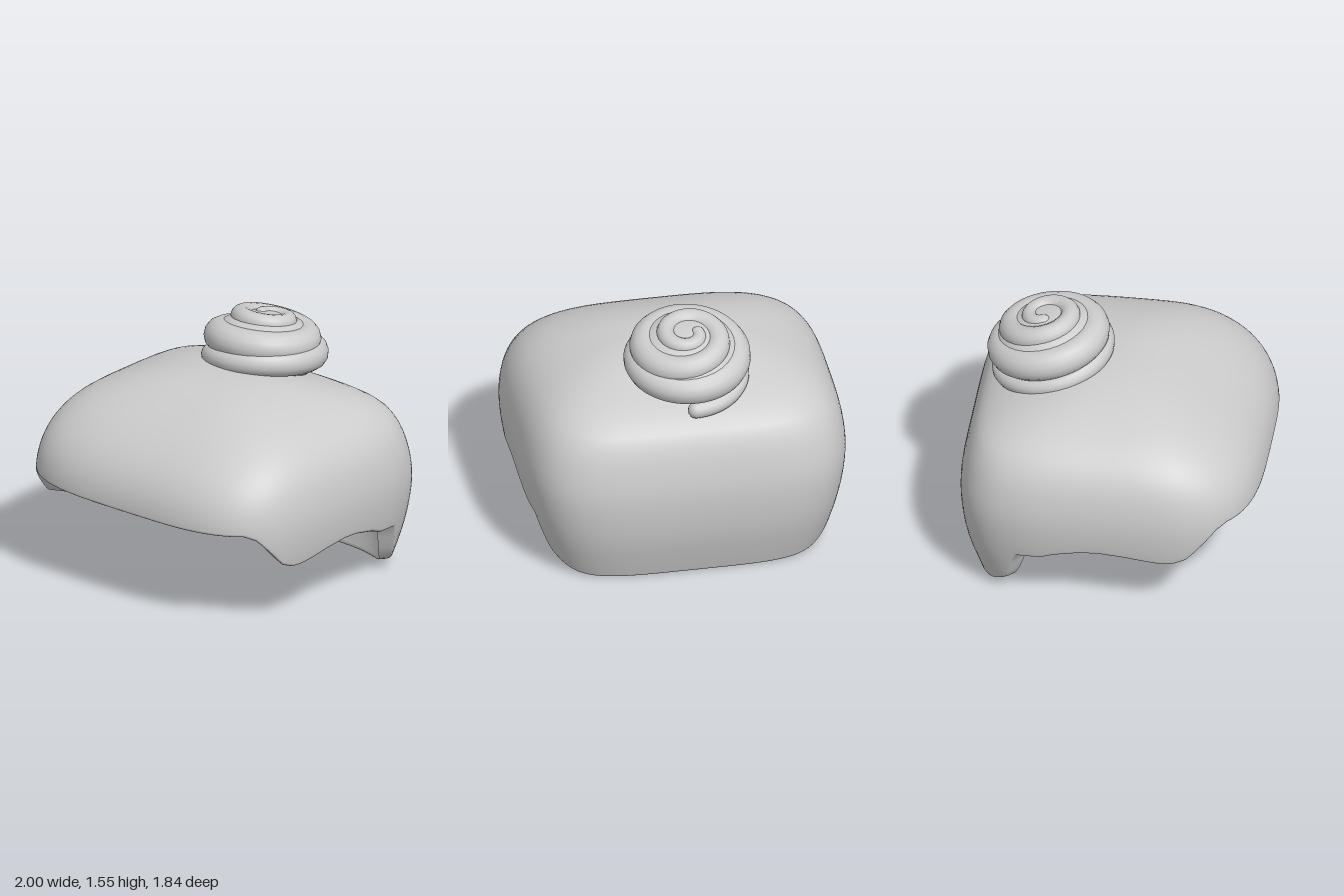
import * as THREE from 'three';
import { mergeVertices } from 'three/addons/utils/BufferGeometryUtils.js';

const hair = new THREE.MeshStandardMaterial({ color: 0xcccccc });
hair.name = 'light grey hair';

// Smooth lookup in a list of evenly spaced values (Catmull-Rom), s counted in steps
function smooth(list, s) {
  const i = Math.min(Math.max(Math.floor(s), 0), list.length - 2), f = s - i;
  const b = list[i], c = list[i + 1];
  const a = i > 0 ? list[i - 1] : 2 * b - c;
  const d = i + 2 < list.length ? list[i + 2] : 2 * c - b;
  return b + 0.5 * f * (c - a + f * (2 * a - 5 * b + 4 * c - d + f * (3 * (b - c) + d - a)));
}

const TOP = 1.26;
// Half width, front reach and back reach at y = TOP - q * q, for q in steps of 0.1
const WIDTH = [0, 0.23, 0.42, 0.59, 0.75, 0.87, 0.945, 0.985, 1.0, 0.985, 0.945, 0.885, 0.8];
const FRONT = [0, 0.14, 0.28, 0.42, 0.565, 0.705, 0.82, 0.893, 0.92, 0.92, 0.91, 0.9, 0.9];
const BACK = [0, 0.15, 0.295, 0.46, 0.65, 0.795, 0.86, 0.897, 0.92, 0.915, 0.885, 0.82, 0.75];

// Inner wall: half width, front and back limits at the hem, inward taper, crown thickness
const INNER = { width: 0.9, front: 0.87, back: 0.79, taper: 0.2, crown: 0.14 };

// Hem height along the side, as [z, y] from front to back
const HEM = [[0.92, 0.63], [0.76, 0.63], [0.7, 0.6], [0.53, 0.41], [0.44, 0.375], [0.35, 0.38],
  [0.15, 0.415], [0, 0.43], [-0.12, 0.425], [-0.28, 0.39], [-0.37, 0.355], [-0.53, 0.34],
  [-0.63, 0.12], [-0.72, 0.06], [-0.79, 0.02], [-0.86, 0.003], [-0.92, 0]];

function hemAt(z) {
  const i = Math.max(1, HEM.findIndex((p) => p[0] <= z + 1e-6));
  const [z0, y0] = HEM[i - 1], [z1, y1] = HEM[i];
  return y0 + (y1 - y0) * THREE.MathUtils.clamp((z - z0) / (z1 - z0), 0, 1);
}

// Rounded-square outline, in unit size
function outline(phi, q) {
  const s = Math.sin(phi), c = Math.cos(phi);
  const n = 2.5 + (c > 0 ? 1.1 : 1.1 - 0.9 * c) * Math.min(1, q / 0.4);
  const r = 1 / Math.pow(Math.abs(s) ** n + Math.abs(c) ** n, 1 / n);
  return [s * r, c * r];
}

function outerPoint(phi, y, scale = 1) {
  const q = Math.sqrt(Math.max(0, TOP - y));
  const [x, z] = outline(phi, q);
  const reach = z > 0 ? FRONT : BACK;
  return [x * smooth(WIDTH, q * 10) * scale, y, z * smooth(reach, q * 10) * scale];
}

// Soft minimum of two positive sizes
const softMin = (a, b) => (a < 1e-4 ? a : a * (1 + (a / b) ** 16) ** (-1 / 16));

// rise runs from 0 at the hem to 1 at the crown
function innerPoint(phi, y, rise) {
  const q = Math.sqrt(Math.max(0, TOP - y));
  const [x, z] = outline(phi, q);
  const size = (list, limit) => softMin(smooth(list, q * 10) * 0.96, limit - INNER.taper * rise);
  const depth = z > 0 ? size(FRONT, INNER.front) : size(BACK, INNER.back);
  return [x * size(WIDTH, INNER.width), y - INNER.crown * rise, z * depth];
}

// Hollow shell: outer wall from the crown down, flat hem, inner wall back up
function shellGeometry() {
  const cols = 176, rows = 28, pos = [], index = [];
  let count = 0;
  for (let j = 0; j < cols; j++) {
    const phi = (j / cols) * Math.PI * 2;
    const hem = hemAt(outline(phi, 0.8)[1] * 0.92);
    const qEnd = Math.sqrt(TOP - hem - 0.02);
    const level = (i) => TOP - (qEnd * i / rows) ** 2;
    const column = [];
    for (let i = 0; i <= rows; i++) column.push(outerPoint(phi, level(i)));
    column.push(outerPoint(phi, hem + 0.006, 0.996), outerPoint(phi, hem, 0.985));
    column.push(innerPoint(phi, hem, 0));
    for (let i = rows; i >= 0; i--) column.push(innerPoint(phi, level(i), 1 - i / rows));
    count = column.length;
    pos.push(...column.flat());
  }
  for (let j = 0; j < cols; j++) {
    const k = (j + 1) % cols;
    for (let i = 0; i < count - 1; i++) {
      const a = j * count + i, d = k * count + i;
      index.push(a, a + 1, d + 1, a, d + 1, d);
    }
  }
  const g = new THREE.BufferGeometry();
  g.setAttribute('position', new THREE.Float32BufferAttribute(pos, 3));
  g.setIndex(index);
  const merged = mergeVertices(g, 1e-5);
  merged.computeVertexNormals();
  return merged;
}

// Coil, listed per half turn from the centre outward and down
const HALF_TURNS = 6.5;
const COIL_R = [0.06, 0.13, 0.18, 0.255, 0.285, 0.3, 0.325, 0.345];
const COIL_Y = [0.285, 0.275, 0.255, 0.17, 0.125, 0.085, -0.01, -0.05];
const COIL_T = [0.042, 0.055, 0.068, 0.092, 0.1, 0.085, 0.056, 0.05];

class Coil extends THREE.Curve {
  getPoint(t, target = new THREE.Vector3()) {
    const s = t * HALF_TURNS;
    const a = (s - HALF_TURNS) * Math.PI; // ends at the back
    const r = smooth(COIL_R, s);
    return target.set(Math.sin(a) * r, smooth(COIL_Y, s), -Math.cos(a) * r);
  }
}

function createBun() {
  const bun = new THREE.Group();
  bun.name = 'bun';
  const add = (name, geometry) => {
    const mesh = new THREE.Mesh(geometry, hair);
    mesh.name = name;
    bun.add(mesh);
    return mesh;
  };

  // Tube whose thickness follows the list
  const curve = new Coil(), steps = 200, sides = 14;
  const g = new THREE.TubeGeometry(curve, steps, 1, sides);
  const p = g.attributes.position, v = new THREE.Vector3();
  for (let i = 0; i < p.count; i++) {
    const u = Math.floor(i / (sides + 1)) / steps;
    const centre = curve.getPointAt(u);
    const thick = smooth(COIL_T, curve.getUtoTmapping(u) * HALF_TURNS);
    v.fromBufferAttribute(p, i).sub(centre).multiplyScalar(thick).add(centre);
    p.setXYZ(i, v.x, v.y, v.z);
  }
  add('bunCoil', g);

  // Rounded ends of the coil
  for (const [name, t] of [['coilTip', 0], ['coilTail', 1]]) {
    const end = add(name, new THREE.SphereGeometry(smooth(COIL_T, t * HALF_TURNS), 14, 10));
    end.position.copy(curve.getPoint(t));
  }

  // Solid core that fills the grooves between the laps
  const core = add('bunCore', new THREE.SphereGeometry(1, 32, 20));
  core.scale.set(0.35, 0.21, 0.35);
  core.position.y = 0.1;

  bun.position.set(-0.015, 1.2, -0.41);
  bun.rotation.x = -0.19;
  return bun;
}

export function createModel() {
  const model = new THREE.Group();
  model.name = 'hairWithBun';
  const shell = new THREE.Mesh(shellGeometry(), hair);
  shell.name = 'hairShell';
  model.add(shell, createBun());
  return model;
}
